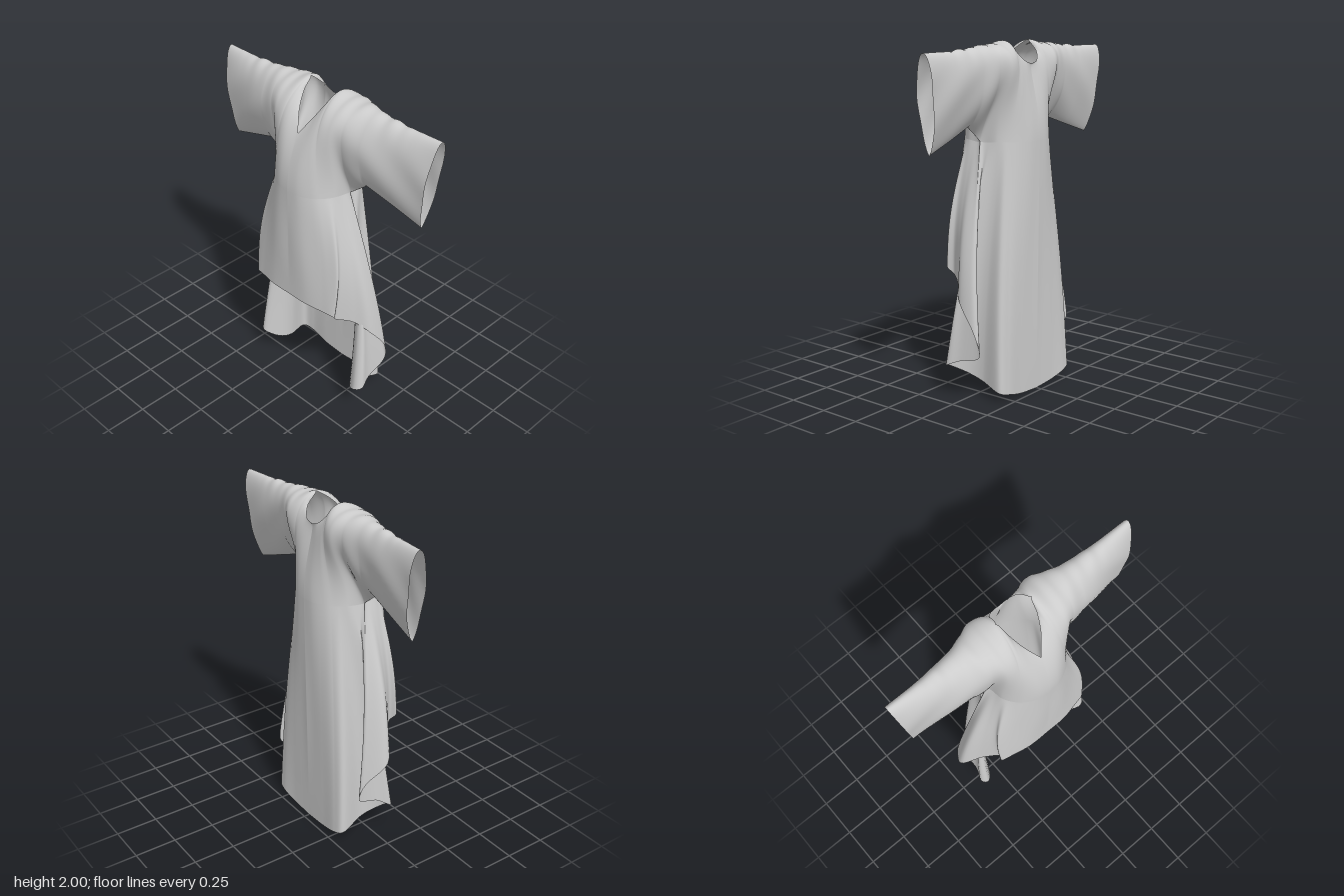
import * as THREE from 'three';
import { mergeVertices } from 'three/addons/utils/BufferGeometryUtils.js';

const { smoothstep, lerp } = THREE.MathUtils;
const STEP = 20; // columns between two control rows

// Upper panels, centre to cuff: lower edge x,y,z, upper edge x,y,z, bulge
const FRONT = [
  [0, 1.45, 0.235, 0, 1.775, 0.15, 0],
  [0.07, 1.45, 0.228, 0.055, 1.87, 0.085, 0.015],
  [0.13, 1.45, 0.202, 0.09, 1.945, 0.015, 0.045],
  [0.175, 1.45, 0.167, 0.115, 1.995, -0.06, 0.085],
  [0.22, 1.45, 0.1, 0.19, 1.978, -0.06, 0.115],
  [0.245, 1.45, 0, 0.27, 1.978, -0.06, 0.135],
  [0.36, 1.54, -0.01, 0.38, 1.965, -0.06, 0.11],
  [0.53, 1.483, -0.03, 0.56, 1.952, -0.065, 0.085],
  [0.71, 1.425, -0.045, 0.78, 1.95, -0.075, 0.055],
];
const BACK = [
  [0, 1.45, -0.228, 0, 1.87, -0.17, 0.015],
  [0.07, 1.45, -0.222, 0.05, 1.885, -0.165, 0],
  [0.13, 1.45, -0.197, 0.093, 1.935, -0.13, -0.03],
  [0.175, 1.45, -0.162, 0.115, 1.995, -0.06, -0.08],
  [0.22, 1.45, -0.1, 0.19, 1.978, -0.06, -0.12],
  [0.245, 1.45, 0, 0.27, 1.978, -0.06, -0.125],
  [0.36, 1.54, -0.01, 0.38, 1.965, -0.06, -0.1],
  [0.53, 1.483, -0.03, 0.56, 1.952, -0.065, -0.075],
  [0.71, 1.425, -0.045, 0.78, 1.95, -0.075, -0.055],
];

// Hem from front centre to back centre: key around the waist (0..10), x, y, z
const HEM_FRONT = [
  [0, 0, 0.752, 0.237], [1.3, 0.13, 0.75, 0.235], [2.6, 0.24, 0.742, 0.212],
  [3.6, 0.315, 0.728, 0.19], [4, 0.295, 0.68, 0.15],
];
const HEM_BACK = [
  [6.2, 0.295, 0.09, -0.05], [6.6, 0.33, 0.06, -0.19], [7.1, 0.27, 0.04, -0.222], [8.3, 0.15, 0.012, -0.217], [10, 0, 0, -0.215],
];
const HEM_LEFT = [
  ...HEM_FRONT,
  [4.3, 0.36, 0.65, 0.07], [4.6, 0.43, 0.57, 0], [4.9, 0.445, 0.42, -0.11], [5.15, 0.425, 0.28, -0.135],
  [5.4, 0.43, 0.235, 0], [5.6, 0.45, 0.2, 0.08], [5.8, 0.4, 0.18, 0.11], [6, 0.32, 0.13, 0.05],
  ...HEM_BACK,
];
const HEM_RIGHT = [
  ...HEM_FRONT,
  [4.3, 0.38, 0.65, 0.08], [4.6, 0.485, 0.55, 0], [4.9, 0.43, 0.42, -0.11], [5.15, 0.4, 0.3, -0.135],
  [5.4, 0.385, 0.24, 0], [5.6, 0.41, 0.19, 0.08], [5.8, 0.37, 0.17, 0.11], [6, 0.31, 0.12, 0.04],
  ...HEM_BACK,
];

// Smooth curve through the rows of a table
function sample(rows, q) {
  const i = Math.min(Math.floor(q), rows.length - 2), t = q - i;
  const at = (k) => rows[Math.max(0, Math.min(rows.length - 1, k))];
  const [a, b, c, d] = [at(i - 1), at(i), at(i + 1), at(i + 2)];
  return b.map((_, k) => b[k] + 0.5 * t * (c[k] - a[k]
    + t * (2 * a[k] - 5 * b[k] + 4 * c[k] - d[k] + t * (3 * (b[k] - c[k]) + d[k] - a[k]))));
}

function sampleHem(rows, key) {
  let i = 0;
  while (i < rows.length - 2 && rows[i + 1][0] <= key) i++;
  return sample(rows, i + (key - rows[i][0]) / (rows[i + 1][0] - rows[i][0]));
}

// One column of a panel: straight seam below the sleeve, shared seam along the shoulder
function column(rows, q) {
  const own = sample(rows, q), other = sample(rows === FRONT ? BACK : FRONT, q);
  const i = Math.min(Math.floor(q), rows.length - 2);
  return own.map((v, k) => {
    if (k < 3 && q >= 5) return lerp(rows[i][k], rows[i + 1][k], q - i);
    return k > 2 && k < 6 && q >= 3 ? (v + other[k]) / 2 : v;
  });
}

function panelPoint(rows, q, j) {
  const c = column(rows, q);
  const v = (1 - Math.cos(Math.PI * j)) / 2;
  const sleeve = smoothstep(q, 4, 6);
  // The body leaves the waist upright, the sleeve is round on top and narrow below
  const a = 2.1 - 1.4 * sleeve;
  const peak = a / (a + 0.5);
  const swell = Math.pow(v / peak, a) * Math.pow((1 - v) / (1 - peak), 0.5);
  const x = lerp(c[0], c[3], v), y = lerp(c[1], c[4], v);
  const z = lerp(c[2], c[5], Math.pow(v, 2 - sleeve));
  // Soft creases running from the underarm to the shoulder
  const crease = 0.006 * Math.sin(x * 20 + y * 14) * Math.sin(Math.PI * v) ** 2 * smoothstep(x, 0.15, 0.35);
  const sag = 0.003 * (Math.sin(x * 41) + Math.sin(x * 67)) * Math.pow(v, 6)
    * smoothstep(x, 0.13, 0.25) * (1 - smoothstep(x, 0.55, 0.7));
  return [x, y + sag, z + c[6] * swell + crease];
}

function skirtPoint(hem, key, t) {
  const w = key <= 5 ? column(FRONT, key) : column(BACK, 10 - key);
  const h = sampleHem(hem, key);
  const arch = Math.sin(Math.PI * t);
  const flare = 1 + (0.08 + 0.1 * Math.exp(-((key - 3.8) ** 2) / 0.15)) * arch;
  const ripple = 0.004 * Math.sin(w[0] * 32) * arch * arch;
  return [lerp(w[0], h[1], t) * flare, lerp(w[1], h[2], t), lerp(w[2], h[3], t) + ripple];
}

export function createModel() {
  const positions = [], index = [], parts = [];

  // Add a grid of points as part of the cloth
  function grid(point, cols, rows, side, flip) {
    const base = positions.length / 3;
    for (let i = 0; i <= cols; i++) {
      for (let j = 0; j <= rows; j++) {
        const [x, y, z] = point(i, j / rows);
        positions.push(x * side, y, z);
      }
    }
    for (let i = 0; i < cols; i++) {
      for (let j = 0; j < rows; j++) {
        const a = base + i * (rows + 1) + j, b = a + rows + 1;
        if (flip) index.push(a, b + 1, b, a, a + 1, b + 1);
        else index.push(a, b, b + 1, a, b + 1, a + 1);
      }
    }
  }

  function part(name, build) {
    const start = index.length;
    build();
    parts.push({ name, start, stop: index.length });
  }

  const SPLIT = 5 * STEP; // column where the sleeve begins
  const panels = (side, from, to) => {
    for (const rows of [FRONT, BACK]) {
      grid((i, j) => panelPoint(rows, (from + i) / STEP, j), to - from, 28, side, (side < 0) !== (rows === BACK));
    }
  };

  part('bodice', () => [1, -1].forEach((side) => panels(side, 0, SPLIT)));
  part('leftSleeve', () => panels(1, SPLIT, 8 * STEP));
  part('rightSleeve', () => panels(-1, SPLIT, 8 * STEP));
  part('skirt', () => {
    grid((i, j) => skirtPoint(HEM_LEFT, i / STEP, j), 10 * STEP, 36, 1, true);
    grid((i, j) => skirtPoint(HEM_RIGHT, i / STEP, j), 10 * STEP, 36, -1, false);
  });

  // Weld the seams so that shading runs smoothly across the parts
  let cloth = new THREE.BufferGeometry();
  cloth.setAttribute('position', new THREE.Float32BufferAttribute(positions, 3));
  cloth.setIndex(index);
  cloth = mergeVertices(cloth, 1e-4);
  cloth.computeVertexNormals();

  const material = new THREE.MeshStandardMaterial({ color: 0xcccccc, side: THREE.DoubleSide });
  const welded = Array.from(cloth.index.array);
  const group = new THREE.Group();
  group.name = 'robe';
  for (const { name, start, stop } of parts) {
    const geometry = new THREE.BufferGeometry();
    geometry.setAttribute('position', cloth.attributes.position);
    geometry.setAttribute('normal', cloth.attributes.normal);
    geometry.setIndex(welded.slice(start, stop));
    const mesh = new THREE.Mesh(geometry, material);
    mesh.name = name;
    group.add(mesh);
  }
  return group;
}
